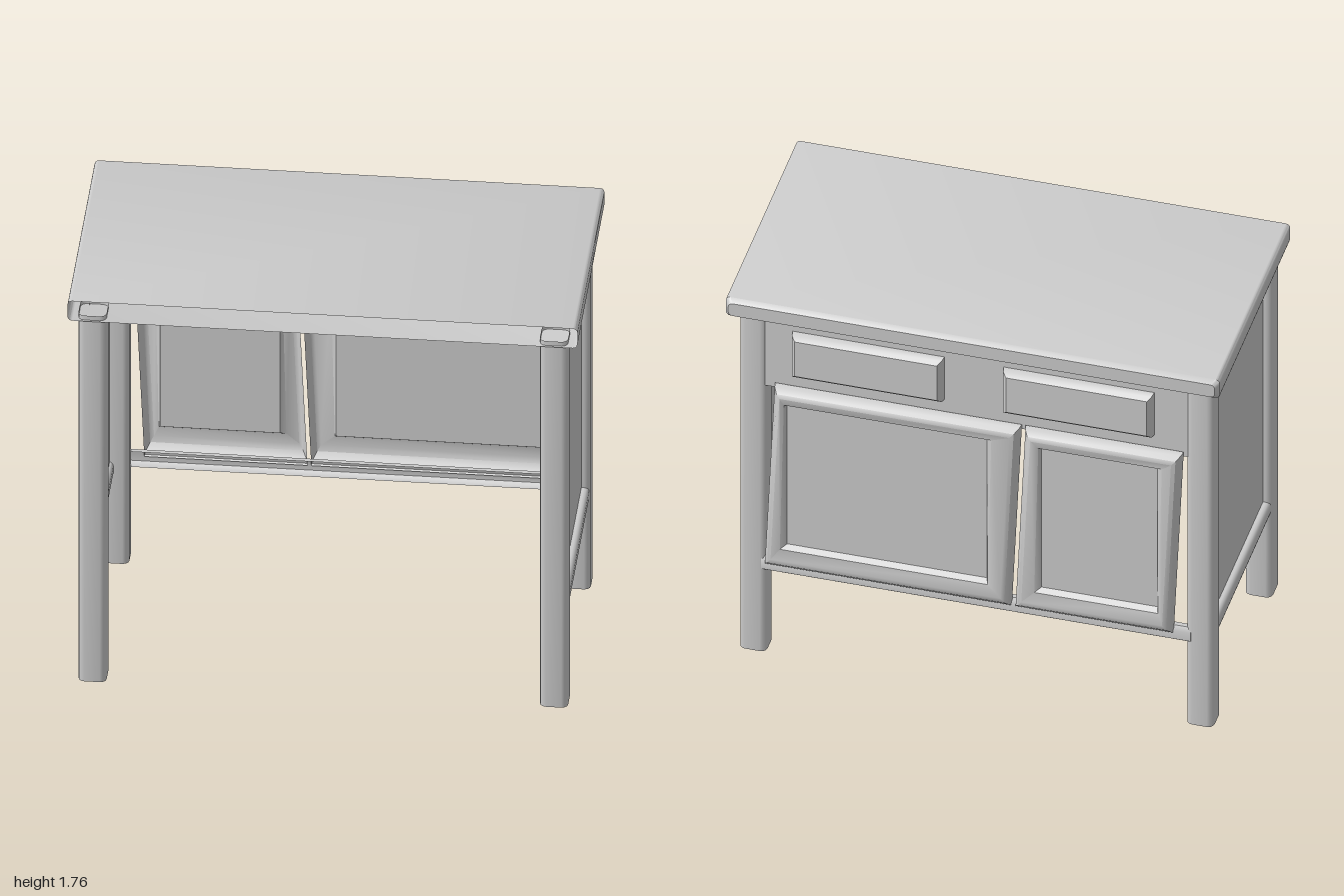
import * as THREE from 'three';
import { toCreasedNormals } from 'three/addons/utils/BufferGeometryUtils.js';

const material = new THREE.MeshStandardMaterial({ color: 0xcccccc, side: THREE.DoubleSide });

// Rounded rectangle loop at depth z; lean shifts x with height
function loop(x0, x1, y0, y1, z, r = 0, lean = 0) {
  const pts = [], steps = r > 0 ? 3 : 0, mid = (y0 + y1) / 2;
  const corners = [[x1 - r, y0 + r], [x1 - r, y1 - r], [x0 + r, y1 - r], [x0 + r, y0 + r]];
  corners.forEach(([cx, cy], k) => {
    for (let i = 0; i <= steps; i++) {
      const a = (k - 1 + (steps ? i / steps : 0)) * Math.PI / 2;
      const y = cy + r * Math.sin(a);
      pts.push([cx + r * Math.cos(a) + lean * (mid - y), y, z]);
    }
  });
  return pts;
}

// Skin between successive loops running towards -z, optionally closing the last one
function loft(loops, cap = true) {
  const pos = [];
  for (let i = 0; i + 1 < loops.length; i++) {
    const A = loops[i], B = loops[i + 1], n = A.length;
    for (let j = 0; j < n; j++) {
      const k = (j + 1) % n;
      pos.push(...A[j], ...B[j], ...A[k], ...A[k], ...B[j], ...B[k]);
    }
  }
  const L = loops[loops.length - 1];
  if (cap) for (let j = 1; j + 1 < L.length; j++) pos.push(...L[0], ...L[j + 1], ...L[j]);
  const g = new THREE.BufferGeometry();
  g.setAttribute('position', new THREE.Float32BufferAttribute(pos, 3));
  return toCreasedNormals(g, 0.7);
}

export function createModel() {
  const model = new THREE.Group();
  const add = (name, geometry) => {
    const mesh = new THREE.Mesh(geometry, material);
    mesh.name = name;
    model.add(mesh);
    return mesh;
  };

  // Hollow table top, open along its front edge
  add('tableTop', loft([
    loop(-1, 1, 1.67, 1.76, 0.525, 0.018),
    loop(-1, 1, 1.67, 1.76, -0.505, 0.018),
    loop(-0.985, 0.985, 1.685, 1.745, -0.525, 0.018),
  ]));

  // Four hollow legs with rounded corners
  for (const [x0, x1, side] of [[0.85, 0.96, 'left'], [-0.96, -0.85, 'right']]) {
    for (const [z0, z1, end] of [[0.395, 0.515, 'Front'], [-0.46, -0.35, 'Back']]) {
      const g = loft([loop(x0, x1, z0, z1, 0, 0.025), loop(x0, x1, z0, z1, -1.69, 0.025)], false);
      add(side + end + 'Leg', g.rotateX(Math.PI / 2));
    }
  }

  // Side panels with a low rail under each
  for (const [s, side] of [[1, 'left'], [-1, 'right']]) {
    const panel = add(side + 'Panel', new THREE.PlaneGeometry(0.78, 1.24));
    panel.rotation.y = s * Math.PI / 2;
    panel.position.set(s * 0.925, 1.06, 0.02);
    const section = [loop(0.91, 0.955, 0.4, 0.47, 0.41, 0.02), loop(0.91, 0.955, 0.4, 0.47, -0.37, 0.02)];
    const rail = add(side + 'Rail', loft(section));
    if (s < 0) rail.position.x = -1.865;
  }

  // Drawer board with two openings
  const drawers = [[-0.72, -0.11], [0.13, 0.745]];
  const rect = (path, x0, x1, y0, y1) =>
    path.setFromPoints([[x0, y0], [x1, y0], [x1, y1], [x0, y1]].map(p => new THREE.Vector2(...p)));
  const board = rect(new THREE.Shape(), -0.87, 0.87, 1.31, 1.68);
  for (const [x0, x1] of drawers) board.holes.push(rect(new THREE.Path(), x0, x1, 1.39, 1.6));
  add('drawerBoard', new THREE.ShapeGeometry(board)).position.z = -0.45;

  // Raised drawer fronts, hollow behind
  drawers.forEach(([x0, x1], i) => add('drawerFront' + (i + 1), loft([
    loop(x0, x1, 1.39, 1.6, -0.45),
    loop(x0 + 0.005, x1 - 0.005, 1.395, 1.595, -0.475),
    loop(x0 + 0.02, x1 - 0.02, 1.41, 1.58, -0.49),
  ])));

  // Rail below the doors
  add('lowerRail', loft([
    loop(-0.87, 0.87, 0.4, 0.47, -0.43),
    loop(-0.87, 0.87, 0.4, 0.47, -0.45),
    loop(-0.87, 0.87, 0.41, 0.45, -0.462),
  ]));

  // Leaning doors: bevelled outer edge, flat frame, sunken panel
  const doors = [
    { name: 'smallDoor', out: [-0.82, -0.18], inner: [-0.74, -0.27] },
    { name: 'largeDoor', out: [-0.165, 0.835], inner: [-0.05, 0.76] },
  ];
  const lean = 0.045;
  for (const { name, out: [a, b], inner: [c, d] } of doors) {
    add(name, loft([
      loop(a, b, 0.435, 1.335, -0.455, 0, lean),
      loop(a + 0.005, b - 0.005, 0.45, 1.33, -0.475, 0, lean),
      loop(a + 0.02, b - 0.02, 0.475, 1.315, -0.5, 0, lean),
      loop(a + 0.035, b - 0.035, 0.5, 1.3, -0.508, 0, lean),
      loop(c - 0.015, d + 0.015, 0.55, 1.265, -0.498, 0, lean / 2),
      loop(c, d, 0.565, 1.25, -0.475),
    ]));
  }

  return model;
}
